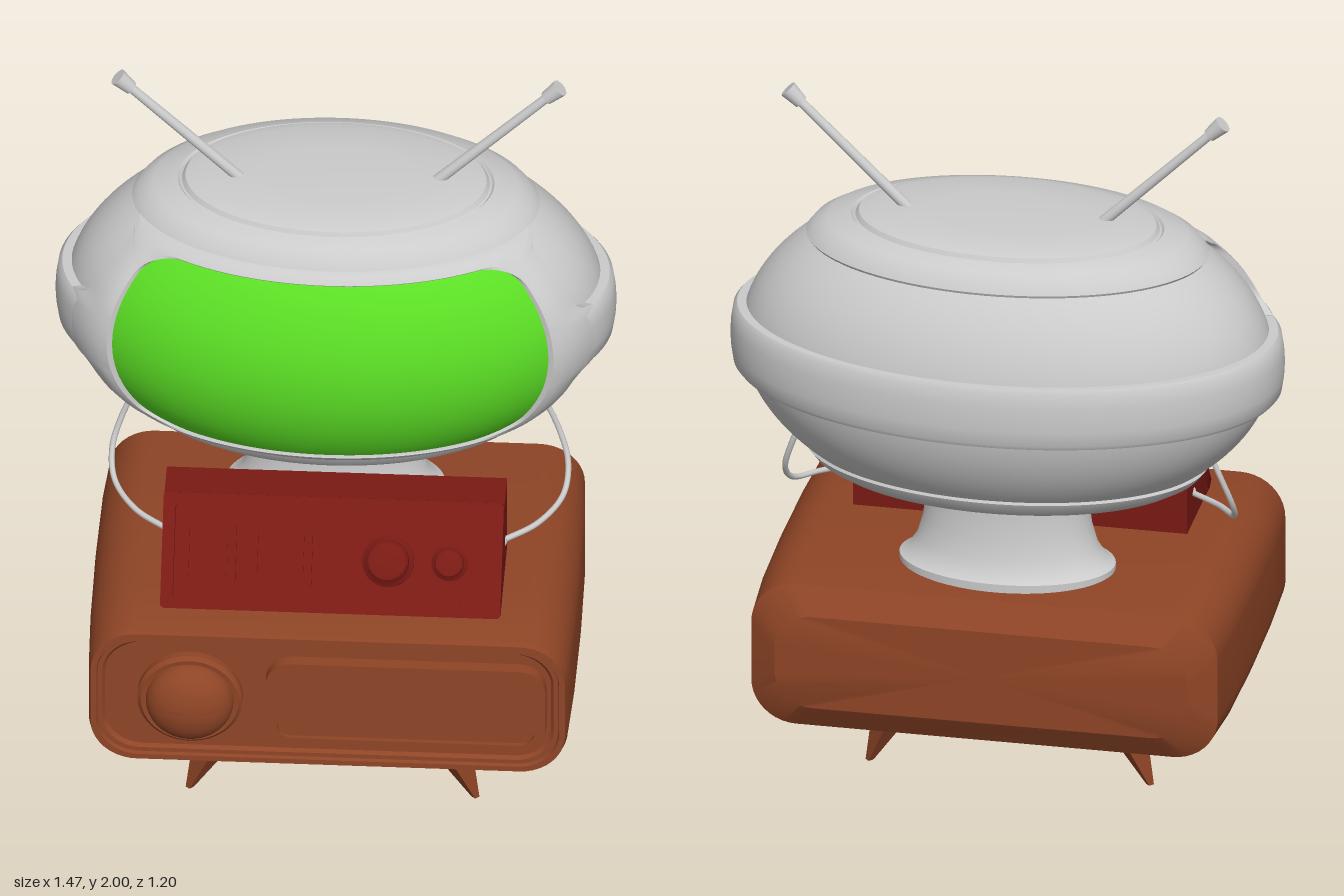
import * as THREE from 'three';
import { toCreasedNormals } from 'three/addons/utils/BufferGeometryUtils.js';

const V = (x, y, z) => new THREE.Vector3(x, y, z);
const material = (color, extra = {}) => new THREE.MeshStandardMaterial({ color, ...extra });
const grey = material(0xcccccc);
const green = material(0x5ce025);
const brown = material(0x8f4526);
const brownFlat = material(0x8f4526, { flatShading: true });
const red = material(0x7a1a14);
const rad = THREE.MathUtils.degToRad;

function add(parent, name, geometry, mat, x = 0, y = 0, z = 0) {
  const mesh = new THREE.Mesh(geometry, mat);
  mesh.name = name;
  mesh.position.set(x, y, z);
  parent.add(mesh);
  return mesh;
}

// Skin a list of point rings
function skin(rings, closed, crease = 0.5) {
  const n = rings[0].length, index = [];
  for (let i = 0; i < rings.length - 1; i++) {
    for (let j = 0; j < (closed ? n : n - 1); j++) {
      const k = (j + 1) % n;
      const a = i * n + j, b = i * n + k, c = b + n, d = a + n;
      index.push(a, b, c, a, c, d);
    }
  }
  const g = new THREE.BufferGeometry().setFromPoints(rings.flat());
  g.setIndex(index);
  return toCreasedNormals(g, crease);
}

function lathe(points, from = 0, to = 360, segments = 96) {
  const pts = points.map(([r, y]) => new THREE.Vector2(r, y));
  return toCreasedNormals(new THREE.LatheGeometry(pts, segments, rad(from), rad(to - from)), 0.6);
}

// Counter-clockwise outline of a rounded rectangle
function roundedRect(w, h, r, n = 10) {
  const pts = [];
  for (let k = 0; k < 4; k++) {
    const sx = k === 0 || k === 3 ? 1 : -1, sy = k < 2 ? 1 : -1;
    for (let i = 0; i <= n; i++) {
      const a = (k + i / n) * Math.PI / 2;
      pts.push(new THREE.Vector2(sx * (w / 2 - r) + r * Math.cos(a), sy * (h / 2 - r) + r * Math.sin(a)));
    }
  }
  return pts;
}

function plate(w, h, r, depth, border = 0) {
  const shape = new THREE.Shape(roundedRect(w, h, r));
  if (border) shape.holes.push(new THREE.Path(roundedRect(w - 2 * border, h - 2 * border, Math.max(r - border, 0.008))));
  return toCreasedNormals(new THREE.ExtrudeGeometry(shape, { depth, bevelEnabled: false }), 0.5);
}

// Head: an ellipsoid shell, built round and squashed in z by its group
const MID = 1.295;
const slice = y => Math.sqrt(1 - ((y - MID) / 0.45) ** 2);
const onHead = (deg, y, R) => V(R * slice(y) * Math.sin(rad(deg)), y, R * slice(y) * Math.cos(rad(deg)));

// Side edge of the face frame, with fillets where it meets band and caps
function frameEdge(y) {
  const h = Math.abs(y - MID);
  const d = Math.max(0, Math.min(h - 0.09, 0.295 - h, 0.05));
  return 64 + 8 * (1 - Math.sqrt(1 - (1 - d / 0.05) ** 2));
}

function frameGeometry() {
  const n = 48, square = [];
  for (let k = 0; k < 4; k++) {
    for (let i = 0; i < n; i++) {
      const t = -1 + 2 * i / n;
      square.push([[t, -1], [1, t], [-t, 1], [-1, -t]][k]);
    }
  }
  const c = 0.22;
  const inner = square.map(([u, v]) => {
    const p = Math.abs(u) - (1 - c), q = Math.abs(v) - (1 - c);
    if (p > 0 && q > 0) {
      const s = c / Math.hypot(p, q);
      u = Math.sign(u) * (1 - c + p * s);
      v = Math.sign(v) * (1 - c + q * s);
    }
    return [53 * u, MID + 0.278 * v];
  });
  const outer = square.map(([u, v]) => {
    const y = MID + 0.307 * v;
    return [frameEdge(y) * u, y];
  });
  const section = [[0, 0.69], [0, 0.732], [0.3, 0.739], [0.65, 0.744], [0.9, 0.742], [1, 0.734], [1, 0.7]];
  return skin(section.map(([t, R]) => outer.map((o, j) =>
    onHead(o[0] + (inner[j][0] - o[0]) * t, o[1] + (inner[j][1] - o[1]) * t, R))), true, 0.6);
}

function makeHead() {
  const head = new THREE.Group();
  head.name = 'head';
  head.scale.z = 0.61;
  head.position.z = -0.148;

  const steps = (a, b, n) => Array.from({ length: n + 1 }, (_, i) => a + (b - a) * i / n);
  add(head, 'screen', skin(steps(1.0, 1.59, 32).map(y => steps(-56, 56, 48).map(d => onHead(d, y, 0.717))), false), green);
  add(head, 'recessedPanels', lathe(steps(0.985, 1.605, 40).map(y => [0.707 * slice(y), y]), 56, 304), grey);
  add(head, 'faceFrame', frameGeometry(), grey);
  add(head, 'equatorBand', lathe([[0.69, 1.207], [0.718, 1.208], [0.728, 1.22], [0.734, 1.26], [0.736, MID],
    [0.734, 1.33], [0.728, 1.37], [0.718, 1.382], [0.69, 1.383]], 64, 296), grey);

  const cap = [[0.48, 1.588], [0.528, 1.59], [0.535, 1.6], [0.515, 1.625], [0.48, 1.645], [0.416, 1.66],
    [0.41, 1.654], [0.404, 1.656], [0.395, 1.668], [0.35, 1.677], [0.2, 1.683], [0, 1.685]];
  add(head, 'topCap', lathe(cap), grey);
  add(head, 'bottomCap', lathe(cap.map(([r, y]) => [r, 2 * MID - y]).reverse()), grey);
  add(head, 'neck', lathe([[0.287, 0.655], [0.287, 0.682], [0.265, 0.695], [0.24, 0.735], [0.225, 0.79],
    [0.217, 0.85], [0.22, 0.95]]), grey);
  return head;
}

function addRod(parent, name, a, b, r0, r1) {
  const rod = add(parent, name, new THREE.CylinderGeometry(r1, r0, a.distanceTo(b), 16), grey);
  rod.position.copy(a).lerp(b, 0.5);
  rod.quaternion.setFromUnitVectors(V(0, 1, 0), b.clone().sub(a).normalize());
}

function makeCabinet() {
  const cabinet = new THREE.Group();
  cabinet.name = 'cabinet';
  // Body sections from back to front: z, inset, corner radius
  const sections = [[-0.415, 0.085, 0.1], [-0.37, 0.014, 0.12], [-0.2, 0.004, 0.125], [0.05, 0, 0.13], [0.3, 0.002, 0.13],
    [0.5, 0.009, 0.125], [0.525, 0.015, 0.12], [0.525, 0.03, 0.11], [0.515, 0.033, 0.11], [0.515, 0.045, 0.1], [0.505, 0.052, 0.1]];
  const rings = sections.map(([z, inset, r]) =>
    roundedRect(1.275 - 2 * inset, 0.435 - 2 * inset, r).map(p => V(p.x, p.y + 0.4525, z)));
  const centre = z => rings[0].map(() => V(0, 0.4525, z));
  add(cabinet, 'cabinetBody', skin([centre(-0.415), ...rings, centre(0.505)], true), brown);

  const dome = [[0.138, 0], [0.138, 0.022], [0.128, 0.032], [0.117, 0.03]];
  for (let i = 0; i <= 12; i++) {
    const a = i / 12 * Math.PI / 2;
    dome.push([0.115 * Math.cos(a), 0.03 + 0.072 * Math.sin(a)]);
  }
  add(cabinet, 'domeKnob', lathe(dome, 0, 360, 48), brown, -0.362, 0.452, 0.503).rotation.x = Math.PI / 2;
  add(cabinet, 'grilleRim', plate(0.735, 0.27, 0.07, 0.037, 0.03), brown, 0.205, 0.45, 0.503);
  add(cabinet, 'grillePlate', plate(0.69, 0.225, 0.05, 0.025), brown, 0.205, 0.45, 0.503);

  // Splayed four-sided legs
  for (const side of [-1, 1]) {
    for (const [name, z, r] of [['frontLeg', 0.305, 0.078], ['rearLeg', -0.037, 0.09]]) {
      const g = new THREE.CylinderGeometry(1, 0.12, 0.26, 4);
      const p = g.attributes.position;
      for (let i = 0; i < p.count; i++) {
        const t = 0.5 - p.getY(i) / 0.26;
        p.setXYZ(i, p.getX(i) * 0.088 + side * (0.265 + 0.11 * t), p.getY(i) + 0.13, p.getZ(i) * r);
      }
      g.computeVertexNormals();
      add(cabinet, name, g, brownFlat, 0, 0, z);
    }
  }
  return cabinet;
}

function makeConsole() {
  const unit = new THREE.Group();
  unit.name = 'console';
  const W = 0.893;
  // Wedge body, drawn as (-z, y) and extruded along x
  const wedge = new THREE.Shape([[-0.1, 0.65], [-0.1, 0.89], [-0.23, 0.89], [-0.406, 0.65]].map(p => new THREE.Vector2(...p)));
  const body = add(unit, 'consoleBody', new THREE.ExtrudeGeometry(wedge, { depth: W, bevelEnabled: false }), red, -W / 2);
  body.rotation.y = Math.PI / 2;

  const face = new THREE.Group();
  face.name = 'controlFace';
  face.position.set(0, 0.7925, 0.335);
  face.rotation.x = -Math.atan2(0.18, 0.245);
  unit.add(face);
  add(face, 'faceRim', plate(W, 0.304, 0.012, 0.04, 0.032), red, 0, 0, -0.04);
  for (const [x, w] of [[-0.32, 0.135], [-0.13, 0.155]]) {
    add(face, 'meterRim', plate(w, 0.16, 0.01, 0.018, 0.012), red, x, -0.005, -0.03);
    add(face, 'meterPlate', plate(w - 0.045, 0.115, 0.008, 0.012), red, x, -0.005, -0.03);
  }
  const knob = [[1, 0], [1, 0.3], [0.88, 0.42], [0.82, 0.5], [0.82, 1.1], [0.72, 1.24], [0.5, 1.3], [0, 1.32]];
  for (const [x, r] of [[0.147, 0.068], [0.308, 0.047]]) {
    add(face, 'controlKnob', lathe(knob.map(([a, b]) => [a * r, b * r]), 0, 360, 32), red, x, -0.01, -0.03).rotation.x = Math.PI / 2;
  }
  return unit;
}

export function createModel() {
  const model = new THREE.Group();
  model.name = 'televisionRobot';
  model.add(makeHead());
  for (const part of [makeCabinet(), makeConsole()]) {
    part.position.x = 0.017;
    model.add(part);
  }

  // Antennas with thicker tips
  for (const [x0, x1, z] of [[-0.245, -0.572, -0.13], [0.26, 0.588, -0.148]]) {
    const a = V(x0, 1.665, z), b = V(x1, 1.985, z);
    addRod(model, 'antenna', a, b, 0.015, 0.012);
    addRod(model, 'antennaTip', a.clone().lerp(b, 0.89), b, 0.018, 0.024);
  }

  // Cables from the head down to the console sides
  for (const side of [-1, 1]) {
    const path = [[0.53, 1.03, -0.08], [0.575, 0.92, -0.075], [0.598, 0.84, -0.05], [0.59, 0.78, 0.01],
      [0.53, 0.757, 0.11], [0.435, 0.75, 0.19]].map(([x, y, z]) => V(0.017 + side * x, y, z));
    add(model, 'cable', new THREE.TubeGeometry(new THREE.CatmullRomCurve3(path), 48, 0.008, 8), grey);
    for (const p of [path[0], path[5]]) add(model, 'cablePlug', new THREE.SphereGeometry(0.017, 16, 12), grey, p.x, p.y, p.z);
  }
  return model;
}
